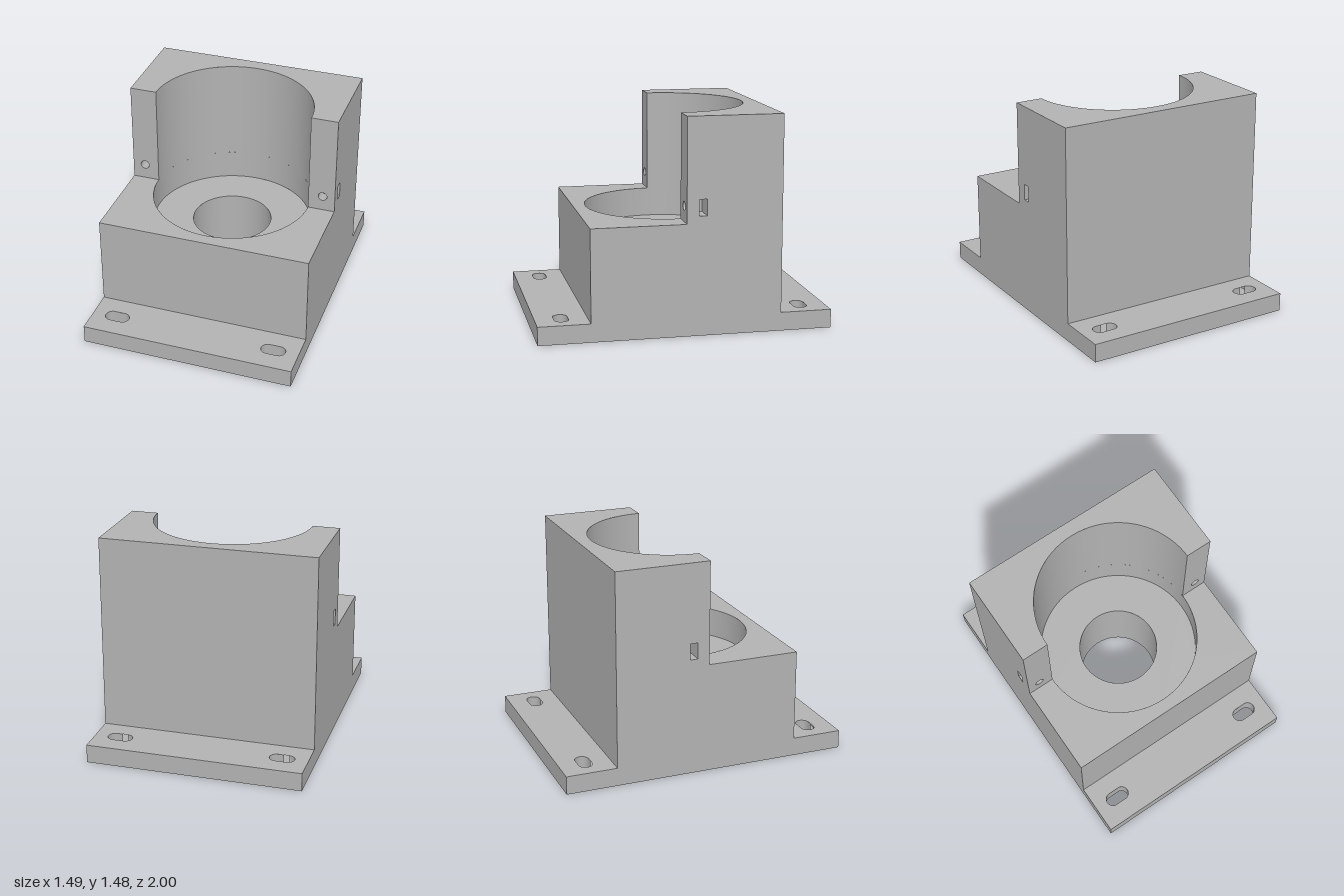
import * as THREE from 'three';

// Main dimensions
const W = 0.743, D = 1, B = 0.647, C = 0.005;          // half width, half plate depth, half body depth, bore centre z
const PLATE = 0.127, FLOOR = 0.558, STEP = 0.763, TOP = 1.475;
const BORE = 0.555, HOLE = 0.276;
const SLOT = { x: 0.566, z: 0.823, half: 0.038, r: 0.048 };
const SCREW = { x: 0.656, y: 0.87, r: 0.031 };
const POCKET = { z0: -0.131, z1: -0.078, y0: 0.814, y1: 0.926, depth: 0.145 };

const rect = (x0, y0, x1, y1, Type = THREE.Shape) => new Type([
  new THREE.Vector2(x0, y0), new THREE.Vector2(x1, y0),
  new THREE.Vector2(x1, y1), new THREE.Vector2(x0, y1)]);

const circle = (x, y, r, Type = THREE.Path) => new Type().absarc(x, y, r, 0, Math.PI * 2, false);

const slotPath = (x, y) => new THREE.Path()
  .absarc(x + SLOT.half, y, SLOT.r, -Math.PI / 2, Math.PI / 2, false)
  .absarc(x - SLOT.half, y, SLOT.r, Math.PI / 2, Math.PI * 1.5, false);

export function createModel() {
  const model = new THREE.Group();
  model.name = 'bearingBracket';
  const grey = new THREE.MeshStandardMaterial({ color: 0xb2b2b2, side: THREE.DoubleSide });
  grey.name = 'grey';

  const add = (name, geometry, x = 0, y = 0, z = 0) => {
    const mesh = new THREE.Mesh(geometry, grey);
    mesh.name = name;
    mesh.position.set(x, y, z);
    model.add(mesh);
    return mesh;
  };
  // Flat faces: up and down lie in x/z, front and back in x/y
  const flat = (shape) => new THREE.ShapeGeometry(shape, 64);
  const up = (name, shape, y) => add(name, flat(shape).rotateX(-Math.PI / 2), 0, y, 0);
  const front = (name, shape, z) => add(name, flat(shape), 0, 0, z);
  const back = (name, shape, z) => add(name, flat(shape).rotateY(Math.PI), 0, 0, z);
  // Upright round wall between two heights
  const wall = (name, r, y0, y1, start = 0, length = Math.PI * 2) =>
    add(name, new THREE.CylinderGeometry(r, r, y1 - y0, 96, 1, true, start, length), 0, (y0 + y1) / 2, C);

  // Underside with centre hole and four mounting slots
  const underside = rect(-W, -D, W, D);
  underside.holes.push(circle(0, C, HOLE));
  for (const sx of [-1, 1]) for (const sz of [-1, 1]) underside.holes.push(slotPath(sx * SLOT.x, sz * SLOT.z));
  add('underside', flat(underside).rotateX(Math.PI / 2));

  // Mounting flanges front and back, with slot walls
  for (const s of [-1, 1]) {
    const flange = rect(-W, -s * B, W, -s * D);
    for (const sx of [-1, 1]) {
      flange.holes.push(slotPath(sx * SLOT.x, -s * SLOT.z));
      const g = new THREE.CylinderGeometry(SLOT.r, SLOT.r, PLATE, 50, 1, true);
      const p = g.attributes.position;
      for (let i = 0; i < p.count; i++) p.setX(i, p.getX(i) + Math.sign(p.getX(i)) * SLOT.half);
      add('mountingSlot', g, sx * SLOT.x, PLATE / 2, s * SLOT.z);
    }
    up('flangeTop', flange, PLATE);
  }
  front('flangeFrontEdge', rect(-W, 0, W, PLATE), D);
  back('flangeBackEdge', rect(-W, 0, W, PLATE), -D);

  // Body walls
  front('bodyFront', rect(-W, PLATE, W, STEP), B);
  back('bodyBack', rect(-W, PLATE, W, TOP), -B);

  // Stepped sides, nut pockets, screw holes and cheeks
  for (const s of [-1, 1]) {
    const profile = [[D, 0], [D, PLATE], [B, PLATE], [B, STEP], [C, STEP], [C, TOP],
      [-B, TOP], [-B, PLATE], [-D, PLATE], [-D, 0]];
    const side = new THREE.Shape(profile.map(([z, y]) => new THREE.Vector2(-s * z, y)));
    side.holes.push(rect(-s * POCKET.z0, POCKET.y0, -s * POCKET.z1, POCKET.y1, THREE.Path));
    add('side', flat(side).rotateY(s * Math.PI / 2), s * W);

    // Pocket is a box without its outer face
    const box = new THREE.BoxGeometry(POCKET.depth, POCKET.y1 - POCKET.y0, POCKET.z1 - POCKET.z0);
    box.setIndex(Array.from(box.index.array).slice(6));
    box.clearGroups();
    if (s < 0) box.rotateY(Math.PI);
    add('nutPocket', box, s * (W - POCKET.depth / 2), (POCKET.y0 + POCKET.y1) / 2, (POCKET.z0 + POCKET.z1) / 2);

    const cheek = rect(s * BORE, STEP, s * W, TOP);
    cheek.holes.push(circle(s * SCREW.x, SCREW.y, SCREW.r));
    front('cheek', cheek, C);
    const length = C - POCKET.z1;
    add('screwHole', new THREE.CylinderGeometry(SCREW.r, SCREW.r, length, 48, 1, true).rotateX(Math.PI / 2),
      s * SCREW.x, SCREW.y, C - length / 2);
  }

  // Step and top faces, each cut by half of the bore
  const step = new THREE.Shape();
  step.moveTo(-W, -C).lineTo(-W, -B).lineTo(W, -B).lineTo(W, -C).lineTo(BORE, -C);
  step.absarc(0, -C, BORE, 0, Math.PI, true);
  up('stepTop', step, STEP);
  const top = new THREE.Shape();
  top.moveTo(W, -C).lineTo(W, B).lineTo(-W, B).lineTo(-W, -C).lineTo(-BORE, -C);
  top.absarc(0, -C, BORE, Math.PI, 0, true);
  up('top', top, TOP);

  // Bore: full ring below the step, half ring above, floor and through hole
  wall('lowerBore', BORE, FLOOR, STEP);
  wall('upperBore', BORE, STEP, TOP, Math.PI / 2, Math.PI);
  const floor = circle(0, -C, BORE, THREE.Shape);
  floor.holes.push(circle(0, -C, HOLE));
  up('boreFloor', floor, FLOOR);
  wall('throughHole', HOLE, 0, FLOOR);

  return model;
}
